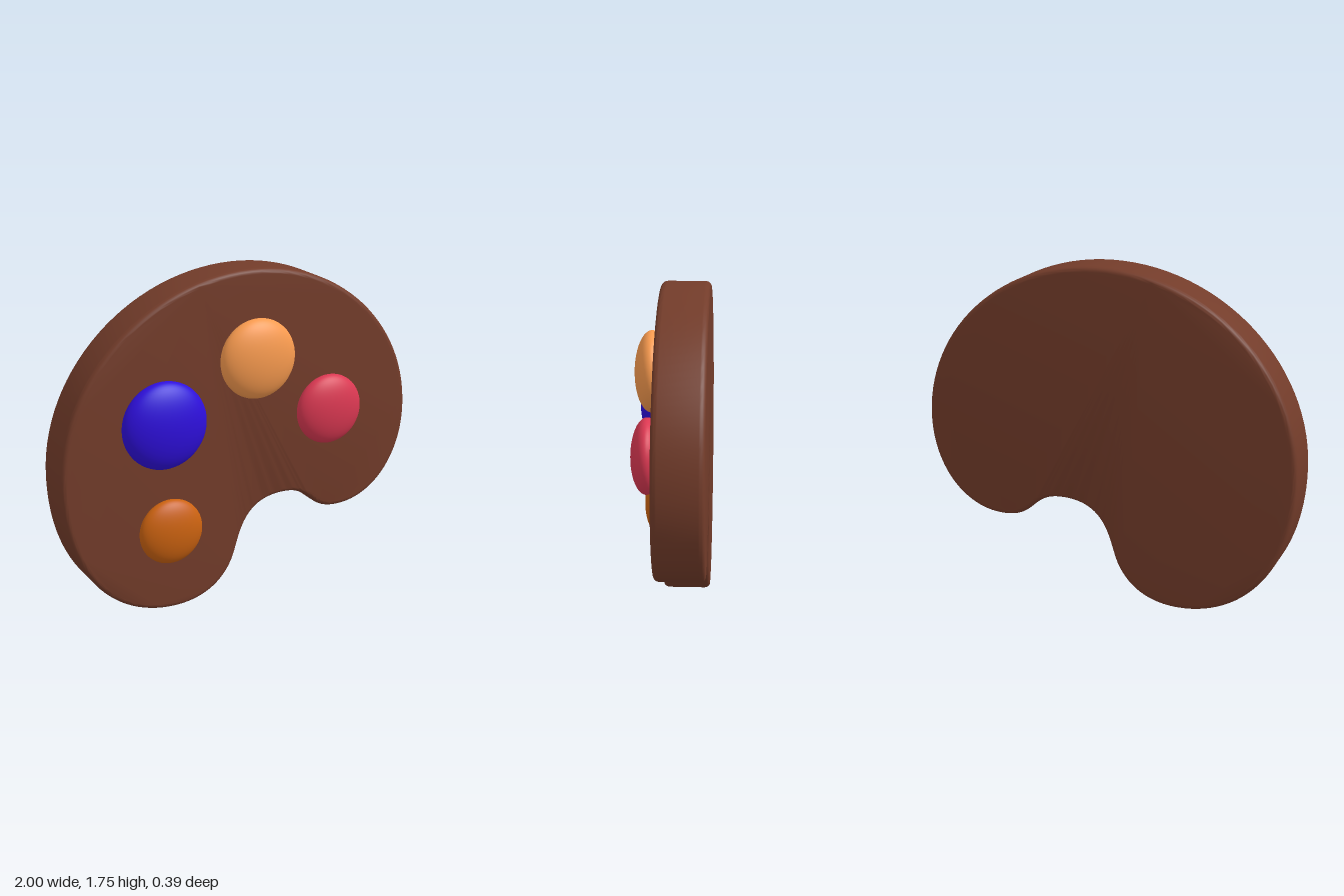
import * as THREE from 'three';
import { toCreasedNormals } from 'three/addons/utils/BufferGeometryUtils.js';

export function createModel() {
  const model = new THREE.Group();
  model.name = 'paintPalette';

  // Kidney-shaped board outline, counter-clockwise from the lowest point
  const outline = new THREE.Shape();
  outline.moveTo(-0.4, 0);
  outline.bezierCurveTo(-0.24, 0, -0.12, 0.07, -0.06, 0.2);
  outline.bezierCurveTo(-0.01, 0.31, -0.01, 0.525, 0.25, 0.525);
  outline.bezierCurveTo(0.43, 0.525, 0.4, 0.39, 0.585, 0.39);
  outline.bezierCurveTo(0.82, 0.39, 1, 0.61, 1, 0.9);
  outline.bezierCurveTo(1, 1.37, 0.575, 1.755, 0.05, 1.755);
  outline.bezierCurveTo(-0.53, 1.755, -1, 1.31, -1, 0.77);
  outline.bezierCurveTo(-1, 0.3, -0.75, 0, -0.4, 0);

  // Thick board with softly rounded rims
  const back = -0.195, front = 0.055, rim = 0.03;
  const boardGeometry = new THREE.ExtrudeGeometry(outline, {
    depth: front - back - 2 * rim,
    curveSegments: 28,
    bevelThickness: rim,
    bevelSize: 0.025,
    bevelOffset: -0.025,
    bevelSegments: 6,
  });
  boardGeometry.translate(0, 0, back + rim);
  const board = new THREE.Mesh(
    toCreasedNormals(boardGeometry, 0.6),
    new THREE.MeshStandardMaterial({ color: 0x733c2a })
  );
  board.name = 'board';
  model.add(board);

  // Flattened paint blobs, half sunk into the front face
  const blobs = [
    ['bluePaint', -0.465, 1.03, 0.228, 0x2e0fdc],
    ['peachPaint', 0.06, 1.305, 0.209, 0xf99b4f],
    ['redPaint', 0.485, 0.975, 0.188, 0xdb3852],
    ['orangePaint', -0.44, 0.458, 0.173, 0xcb6210],
  ];
  const blobGeometry = new THREE.SphereGeometry(1, 48, 32);
  for (const [name, x, y, radius, color] of blobs) {
    const blob = new THREE.Mesh(blobGeometry, new THREE.MeshStandardMaterial({ color }));
    blob.name = name;
    blob.position.set(x, y, 0.1);
    blob.scale.set(radius, radius, radius * 0.42);
    model.add(blob);
  }

  return model;
}
